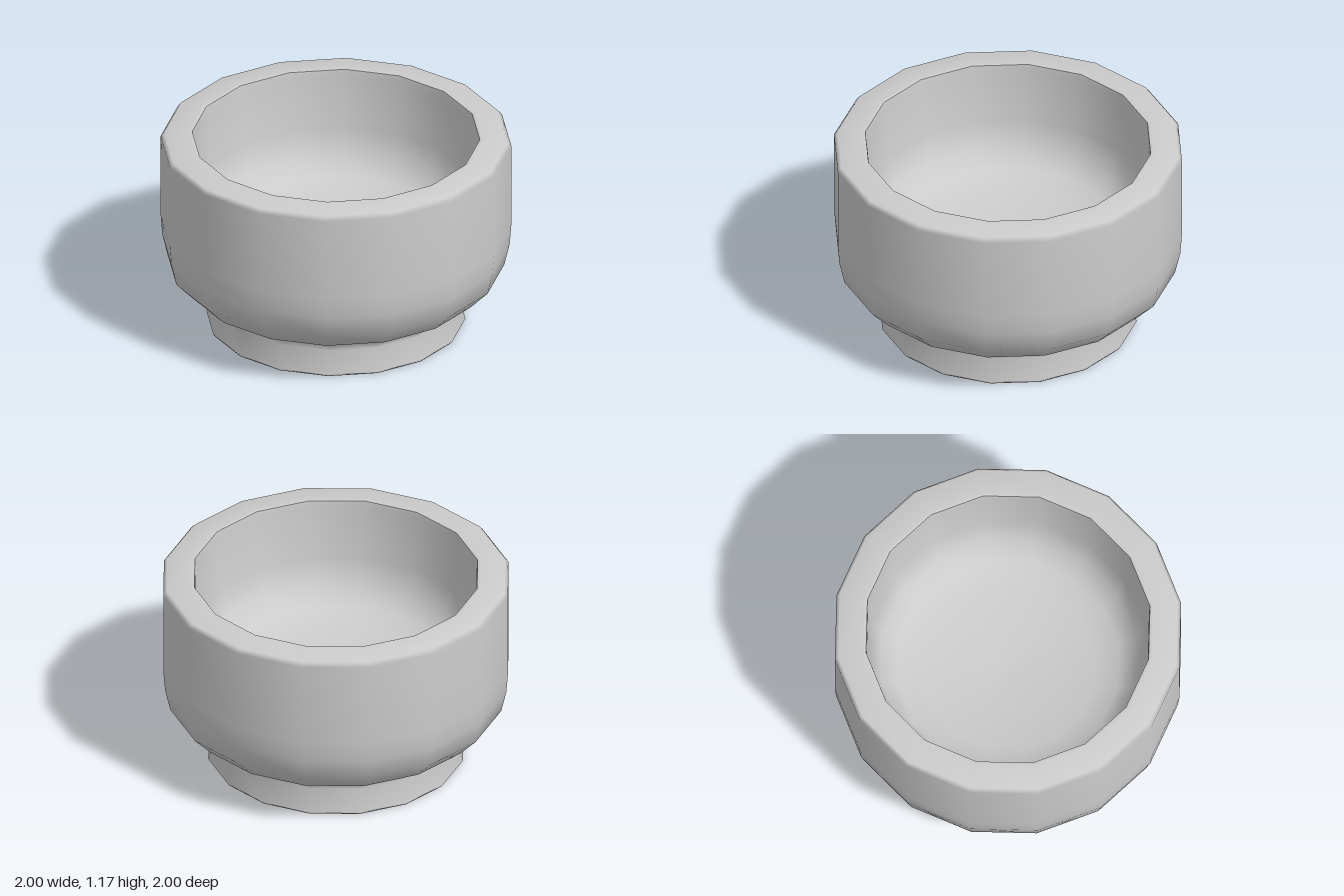
import * as THREE from 'three';

const SIDES = 16;

// Turns a list of [radius, height] pairs into a smooth-shaded 16-sided part.
function turned(name, profile, material) {
  const points = profile.map(([r, y]) => new THREE.Vector2(r, y));
  const mesh = new THREE.Mesh(new THREE.LatheGeometry(points, SIDES), material);
  mesh.name = name;
  return mesh;
}

export function createModel() {
  const group = new THREE.Group();
  group.name = 'footedBowl';
  const material = new THREE.MeshStandardMaterial({ color: 0xcccccc });

  // Recessed underside inside the foot
  group.add(turned('underside', [[0, 0.16], [0.62, 0.16]], material));

  // Inner face of the hollow foot
  group.add(turned('footInside', [[0.62, 0.16], [0.62, 0]], material));

  // Flared foot, narrow neck and rounded outer wall up over the rim
  group.add(turned('footAndWall', [
    [0.62, 0], [0.728, 0], [0.738, 0.015], [0.703, 0.15], [0.73, 0.205],
    [0.855, 0.26], [0.96, 0.37], [0.99, 0.5], [1, 0.63],
    [1, 1.13], [0.98, 1.155], [0.84, 1.17], [0.82, 1.165],
  ], material));

  // Inside wall leaning in and curving into the dished floor
  group.add(turned('innerBowl', [
    [0.82, 1.165], [0.815, 1.13], [0.79, 0.8], [0.735, 0.65],
    [0.64, 0.57], [0.5, 0.53], [0.25, 0.49], [0, 0.48],
  ], material));

  return group;
}
